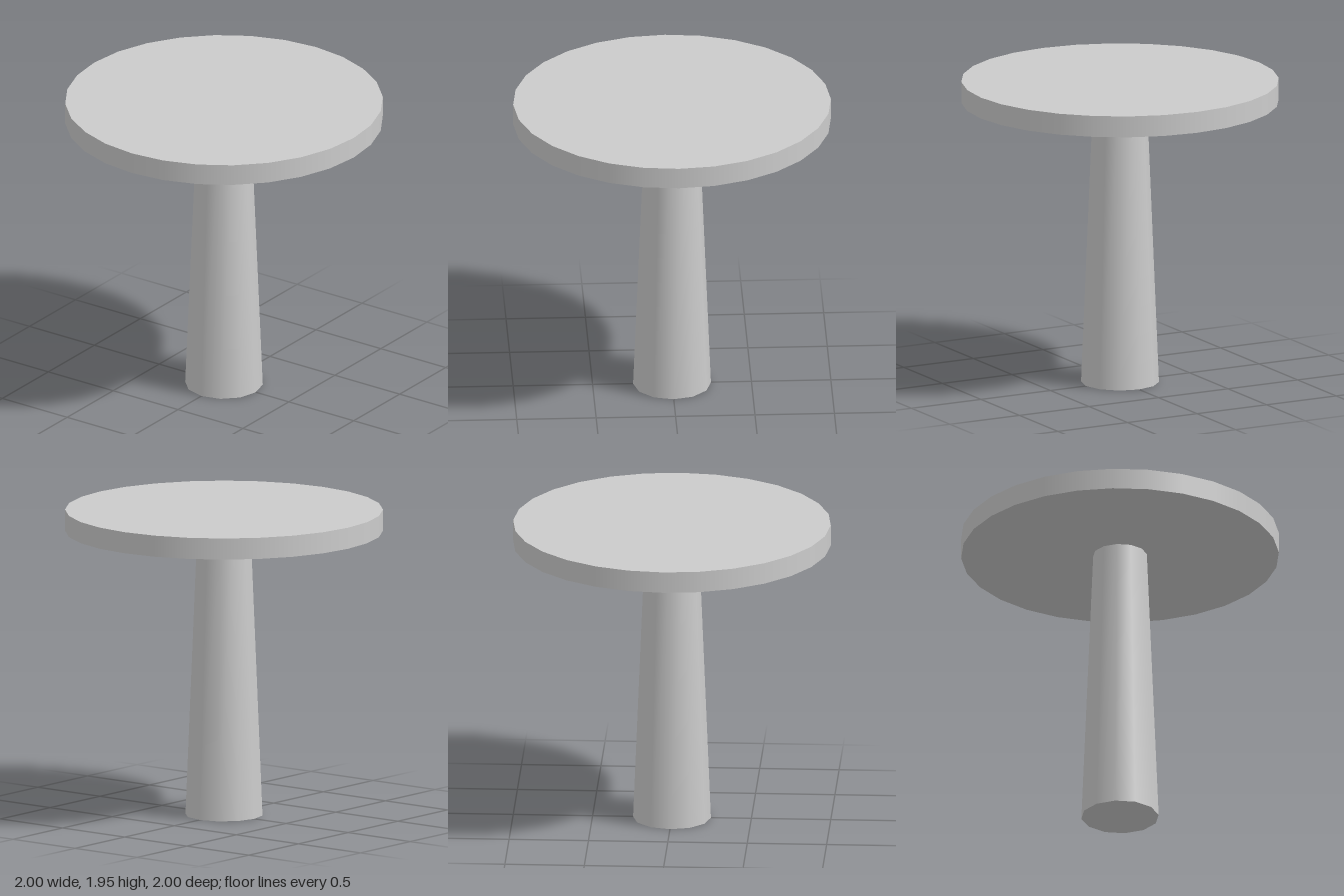
import * as THREE from 'three';

export function createModel() {
  const group = new THREE.Group();
  group.name = 'pedestalTable';
  const material = new THREE.MeshStandardMaterial({ color: 0xcccccc });

  // Upright round part standing between two heights
  function addRound(name, topRadius, bottomRadius, y0, y1, sides) {
    const geometry = new THREE.CylinderGeometry(topRadius, bottomRadius, y1 - y0, sides);
    const mesh = new THREE.Mesh(geometry, material);
    mesh.name = name;
    mesh.position.y = (y0 + y1) / 2;
    group.add(mesh);
  }

  // Tapered central leg
  addRound('pedestal', 0.17, 0.245, 0, 1.815, 12);
  // Round slab on top
  addRound('tableTop', 1, 1, 1.815, 1.95, 28);

  return group;
}
